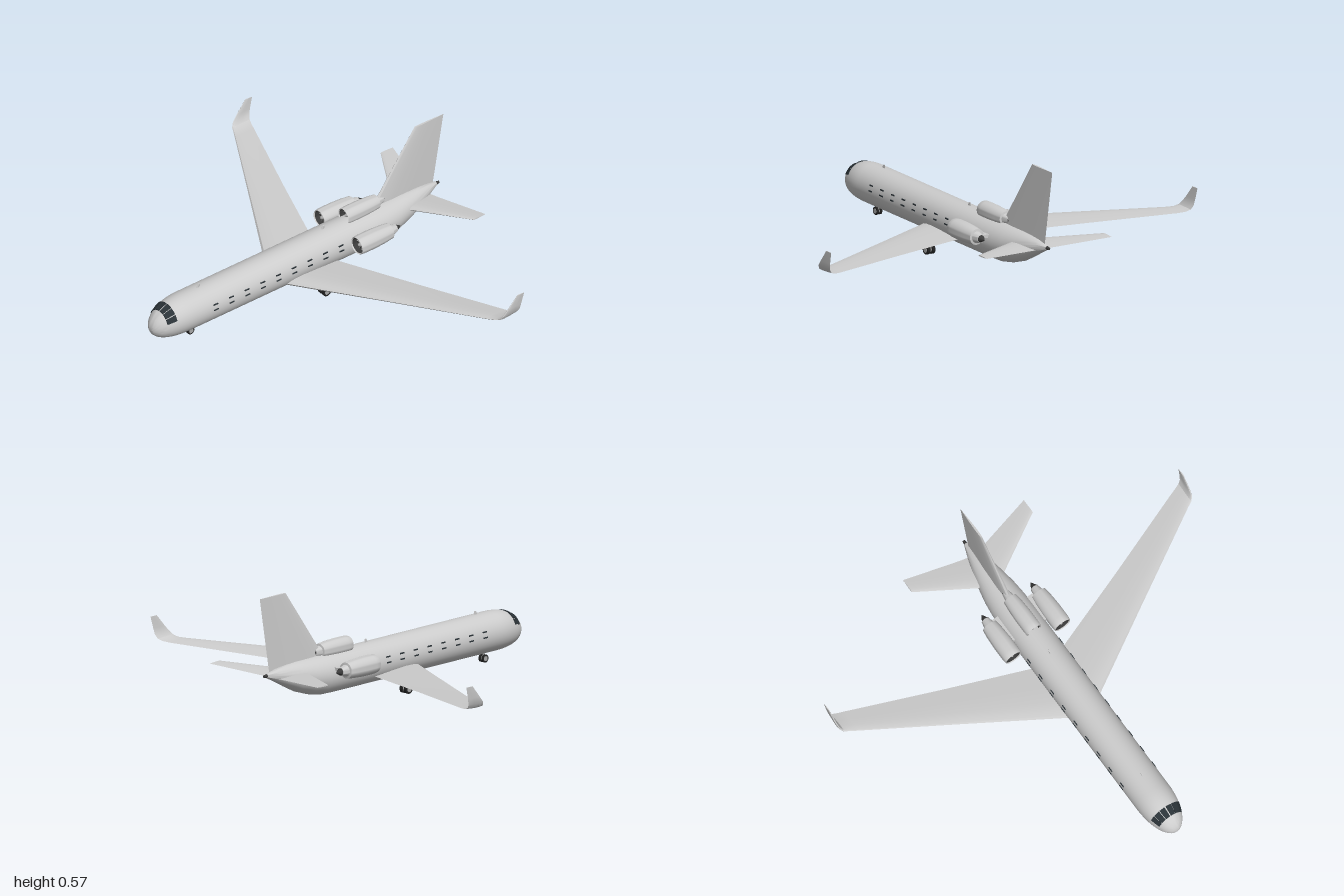
import * as THREE from 'three';
import { toCreasedNormals } from 'three/addons/utils/BufferGeometryUtils.js';

const mat = (name, color) => {
  const m = new THREE.MeshStandardMaterial({ color });
  m.name = name;
  return m;
};

// Skin a list of closed rings (arrays of [x, y, z]) and cap both ends
function loft(rings, crease = 0.6) {
  const n = rings[0].length, pos = rings.flat(2), idx = [];
  for (let i = 0; i < rings.length - 1; i++) {
    for (let j = 0; j < n; j++) {
      const a = i * n + j, b = i * n + (j + 1) % n;
      idx.push(a, b, b + n, a, b + n, a + n);
    }
  }
  const last = (rings.length - 1) * n;
  for (let j = 1; j < n - 1; j++) {
    idx.push(0, j + 1, j, last, last + j, last + j + 1);
  }
  // make the skin face outwards whatever the ring direction
  let volume = 0;
  const v = k => new THREE.Vector3(...pos.slice(k * 3, k * 3 + 3));
  for (let i = 0; i < idx.length; i += 3) volume += v(idx[i]).dot(v(idx[i + 1]).cross(v(idx[i + 2])));
  if (volume < 0) idx.reverse();
  const g = new THREE.BufferGeometry();
  g.setAttribute('position', new THREE.Float32BufferAttribute(pos, 3));
  g.setIndex(idx);
  return toCreasedNormals(g, crease);
}

// Aerofoil outline: [distance along chord 0..1, half thickness]
const FOIL = [[0, 0], [0.03, 0.3], [0.12, 0.45], [0.3, 0.5], [0.6, 0.34], [1, 0.03],
  [0.6, -0.34], [0.3, -0.5], [0.12, -0.45], [0.03, -0.3]];

// Section at (x, y) with leading edge z, chord c, thickness t, tilted by angle a
const foilRing = ([x, y, z, c, t, a = 0], side = 1) => FOIL.map(([u, h]) => [
  side * (x - Math.sin(a) * h * t), y + Math.cos(a) * h * t, z - u * c]);

// Fuselage section at z: centre height, half width, half height
const TAIL = [[0.666, 0.141, 0.093, 0.095], [-0.4, 0.141, 0.093, 0.095], [-0.48, 0.142, 0.09, 0.094],
  [-0.55, 0.148, 0.083, 0.087], [-0.63, 0.16, 0.068, 0.073], [-0.7, 0.175, 0.05, 0.053],
  [-0.76, 0.187, 0.032, 0.033], [-0.82, 0.195, 0.01, 0.01]];
function section(z) {
  if (z > 0.666) {
    const u = Math.min((z - 0.666) / 0.2, 1);
    return [0.141 - 0.018 * u * u, 0.093 * Math.sqrt(1 - u ** 2.1), 0.095 * Math.sqrt(1 - u ** 2.4)];
  }
  const i = Math.max(1, TAIL.findIndex(s => s[0] <= z)), a = TAIL[i - 1], b = TAIL[i];
  const k = (z - a[0]) / (b[0] - a[0]);
  return [1, 2, 3].map(j => a[j] + (b[j] - a[j]) * k);
}
function skin(z, angle, lift = 0) {
  const [y, rx, ry] = section(z);
  return [(rx + lift) * Math.cos(angle), y + (ry + lift) * Math.sin(angle), z];
}

export function createModel() {
  const root = new THREE.Group();
  root.name = 'jetAirliner';
  const body = mat('body grey', 0xcccccc);
  const glass = mat('window glass', 0x2b3338);
  const dark = mat('dark metal', 0x3c3c3c);
  const tyre = mat('tyre black', 0x222222);
  const metal = mat('hub grey', 0xa8a8a8);

  const add = (name, geo, m, parent = root, x = 0, y = 0, z = 0) => {
    const mesh = new THREE.Mesh(geo, m);
    mesh.name = name;
    mesh.position.set(x, y, z);
    parent.add(mesh);
    return mesh;
  };

  // Fuselage
  const stations = [];
  for (let i = 0; i <= 14; i++) stations.push(0.666 + 0.1999 * Math.cos(i / 14 * Math.PI / 2));
  stations.push(...TAIL.slice(1).map(s => s[0]));
  add('fuselage', loft(stations.map(z =>
    Array.from({ length: 40 }, (_, j) => skin(z, j / 40 * Math.PI * 2))), 1), body);
  const exhaust = add('tailExhaust', new THREE.CylinderGeometry(0.006, 0.009, 0.02, 16), dark, root, 0, 0.195, -0.828);
  exhaust.rotation.x = -Math.PI / 2;

  // Cockpit panes, laid on the nose skin
  const panes = [[0.38, 0.72], [0.77, 1.14], [1.19, 1.53]];
  for (const side of [1, -1]) {
    for (const [a0, a1] of panes) {
      const ring = lift => {
        const pts = [];
        for (const z of [0.768, 0.782, 0.796, 0.812]) pts.push([z, a0]);
        for (const a of [0.33, 0.67]) pts.push([0.812, a0 + (a1 - a0) * a]);
        for (const z of [0.812, 0.796, 0.782, 0.768]) pts.push([z, a1]);
        for (const a of [0.67, 0.33]) pts.push([0.768, a0 + (a1 - a0) * a]);
        return pts.map(([z, a]) => {
          const p = skin(z, a, lift);
          return [side * p[0], p[1], p[2]];
        });
      };
      add('cockpitPane', loft([ring(-0.002), ring(0.004)]), glass);
    }
  }

  // Cabin windows: paired slits along each side
  for (const side of [1, -1]) {
    for (let i = 0; i < 9; i++) {
      for (const y of [0.172, 0.146]) {
        const x = 0.093 * Math.sqrt(1 - ((y - 0.141) / 0.095) ** 2);
        add('cabinWindow', new THREE.BoxGeometry(0.005, 0.006, 0.027), glass, root, side * x, y, 0.55 - i * 0.0925);
      }
    }
  }

  // Wings with curved winglets, tailplanes
  const wing = [[0, 0.086, 0.165, 0.31, 0.036], [0.09, 0.09, 0.112, 0.292, 0.034, 0.05],
    [0.5, 0.114, -0.13, 0.2, 0.022, 0.05], [0.92, 0.138, -0.376, 0.114, 0.012, 0.06],
    [0.955, 0.142, -0.396, 0.106, 0.011, 0.25], [0.978, 0.151, -0.406, 0.104, 0.01, 0.7],
    [0.99, 0.17, -0.42, 0.097, 0.009, 1.2], [0.994, 0.2, -0.447, 0.077, 0.008, 1.5],
    [0.997, 0.257, -0.497, 0.042, 0.005, 1.52]];
  const stabilizer = [[0, 0.172, -0.57, 0.19, 0.022], [0.07, 0.177, -0.612, 0.162, 0.02, 0.1],
    [0.34, 0.2, -0.768, 0.072, 0.006, 0.1]];
  for (const side of [1, -1]) {
    add(side > 0 ? 'leftWing' : 'rightWing', loft(wing.map(s => foilRing(s, side))), body);
    add(side > 0 ? 'leftTailplane' : 'rightTailplane', loft(stabilizer.map(s => foilRing(s, side))), body);
  }

  // Tail fin
  const fin = [[0.19, -0.415, 0.383, 0.032], [0.265, -0.47, 0.342, 0.028], [0.566, -0.693, 0.172, 0.01]];
  add('tailFin', loft(fin.map(([y, z, c, t]) => FOIL.map(([u, h]) => [h * t, y, z - u * c]))), body);

  // Engines: hollow cowl, fan with spinner, nozzle and tail cone (origin at the intake lip)
  const lathe = (pts, seg = 32) => toCreasedNormals(new THREE.LatheGeometry(
    pts.map(p => new THREE.Vector2(...p)), seg).rotateX(Math.PI / 2), 0.7);
  const engine = (name, x, y, z, r) => {
    const g = new THREE.Group();
    g.name = name;
    g.position.set(x, y, z);
    root.add(g);
    add('cowl', lathe([[0.6 * r, -0.194], [0.82 * r, -0.192], [0.93 * r, -0.15], [r, -0.09], [r, -0.03],
      [0.96 * r, -0.006], [0.9 * r, 0], [0.84 * r, -0.006], [0.82 * r, -0.035]]), body, g);
    add('intakeLining', lathe([[0.82 * r, -0.035], [0.825 * r, -0.005]].map(([a, b]) => [a, b]).reverse()), dark, g);
    add('fanDisc', new THREE.CircleGeometry(0.84 * r, 32), dark, g, 0, 0, -0.032);
    for (let i = 0; i < 12; i++) {
      const blade = add('fanBlade', new THREE.BoxGeometry(0.05 * r, 0.5 * r, 0.004), metal, g);
      const a = i / 12 * Math.PI * 2;
      blade.position.set(-Math.sin(a) * 0.53 * r, Math.cos(a) * 0.53 * r, -0.03);
      blade.rotation.z = a;
    }
    add('spinner', lathe([[0.3 * r, -0.032], [0.22 * r, -0.018], [0.1 * r, -0.009], [0, -0.006]], 20), metal, g);
    add('nozzle', lathe([[0, -0.228], [0.42 * r, -0.228], [0.6 * r, -0.19]]), body, g);
    add('exhaustCone', lathe([[0, -0.258], [0.12 * r, -0.25], [0.4 * r, -0.226]], 20), dark, g);
  };
  engine('leftEngine', 0.138, 0.175, -0.243, 0.046);
  engine('rightEngine', -0.138, 0.175, -0.243, 0.046);
  engine('centreEngine', 0, 0.25, -0.275, 0.042);
  for (const side of [1, -1]) {
    add('enginePylon', new THREE.BoxGeometry(0.05, 0.016, 0.14), body, root, side * 0.09, 0.175, -0.38);
  }
  add('centreEngineFairing', new THREE.BoxGeometry(0.03, 0.03, 0.15), body, root, 0, 0.222, -0.375);

  // Landing gear: strut, axle and a pair of wheels
  const gear = (name, x, z, r, spread, width, top) => {
    const g = new THREE.Group();
    g.name = name;
    g.position.set(x, r, z);
    root.add(g);
    add('strut', new THREE.CylinderGeometry(0.004, 0.004, top - r, 12), metal, g, 0, (top - r) / 2, 0);
    const axle = new THREE.CylinderGeometry(0.004, 0.004, spread * 2, 12).rotateZ(Math.PI / 2);
    add('axle', axle, metal, g);
    for (const s of [1, -1]) {
      add('wheel', new THREE.CylinderGeometry(r, r, width, 24).rotateZ(Math.PI / 2), tyre, g, s * spread);
      add('wheelHub', new THREE.CylinderGeometry(r * 0.62, r * 0.62, width + 0.003, 20).rotateZ(Math.PI / 2), metal, g, s * spread);
    }
  };
  gear('leftMainGear', 0.15, -0.043, 0.023, 0.0135, 0.014, 0.095);
  gear('rightMainGear', -0.15, -0.043, 0.023, 0.0135, 0.014, 0.095);
  gear('noseGear', 0, 0.635, 0.019, 0.0095, 0.009, 0.06);

  // Blade antennas on the spine and belly
  for (const [z, y, up] of [[0.595, 0.232, 1], [-0.14, 0.232, 1], [0.185, 0.05, -1]]) {
    add('antenna', loft([[0, 0, 0.022], [0.02, 0.012, 0.012]].map(([h, back, c]) =>
      FOIL.map(([u, t]) => [t * 0.006, y + up * h, z - back - u * c]))), body);
  }
  return root;
}
